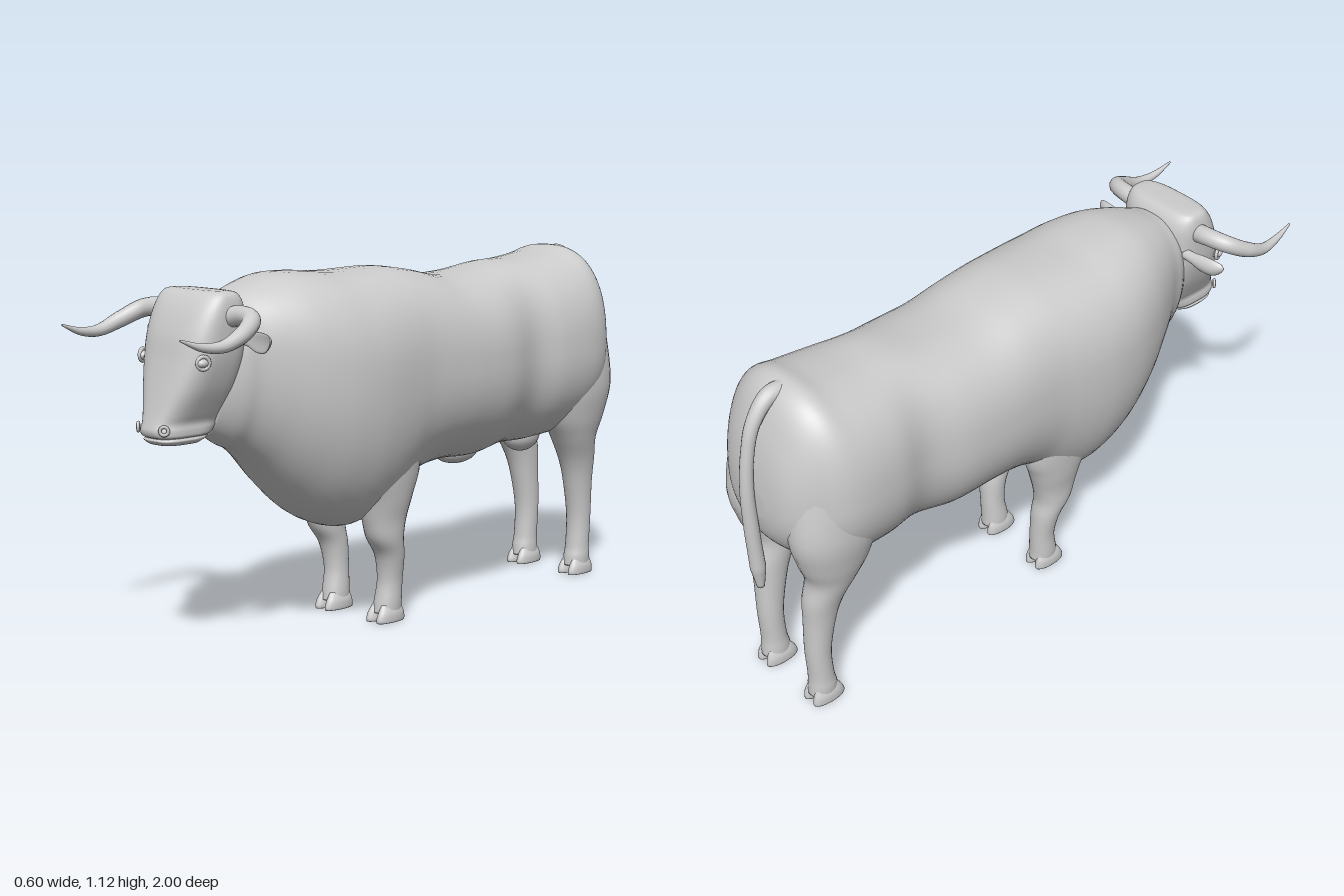
import * as THREE from 'three';

const mat = new THREE.MeshStandardMaterial({ color: 0xcccccc, roughness: 0.8 });

// Smoothly interpolates a short list of key rows into many rows
function smoothRows(keys, steps) {
  const rows = [];
  const last = keys.length - 1;
  for (let i = 0; i <= last * steps; i++) {
    const k = Math.min(Math.floor(i / steps), last - 1);
    const t = i / steps - k;
    const at = (n) => keys[Math.max(0, Math.min(last, n))];
    rows.push(keys[k].map((b, c) => {
      const a = at(k - 1)[c], d = at(k + 1)[c], e = at(k + 2)[c];
      return b + 0.5 * t * (d - a + t * (2 * a - 5 * b + 4 * d - e + t * (3 * (b - d) + e - a)));
    }));
  }
  return rows;
}

// Skins rings of points into a closed smooth surface, facing outward
function skin(rings) {
  const segs = rings[0].length, pos = [], idx = [];
  rings.forEach((r) => r.forEach((p) => pos.push(p.x, p.y, p.z)));
  for (let i = 0; i < rings.length - 1; i++) {
    for (let j = 0; j < segs; j++) {
      const a = i * segs + j, b = i * segs + (j + 1) % segs;
      idx.push(a, b, a + segs, b, b + segs, a + segs);
    }
  }
  [0, rings.length - 1].forEach((ri) => {
    const mid = new THREE.Vector3();
    rings[ri].forEach((p) => mid.addScaledVector(p, 1 / segs));
    const c = pos.length / 3;
    pos.push(mid.x, mid.y, mid.z);
    for (let j = 0; j < segs; j++) {
      const a = ri * segs + j, b = ri * segs + (j + 1) % segs;
      if (ri === 0) idx.push(c, b, a); else idx.push(c, a, b);
    }
  });
  // Signed volume tells whether the winding must be reversed
  let volume = 0;
  const v = (i) => new THREE.Vector3().fromArray(pos, i * 3);
  for (let i = 0; i < idx.length; i += 3) volume += v(idx[i]).dot(v(idx[i + 1]).cross(v(idx[i + 2])));
  if (volume < 0) idx.reverse();
  const g = new THREE.BufferGeometry();
  g.setAttribute('position', new THREE.Float32BufferAttribute(pos, 3));
  g.setIndex(idx);
  g.computeVertexNormals();
  return g;
}

function loft(keys, steps, segs, point) {
  return skin(smoothRows(keys, steps).map((row) =>
    Array.from({ length: segs }, (_, j) => point(row, (j / segs) * Math.PI * 2))));
}

const spow = (v, n) => Math.sign(v) * Math.pow(Math.abs(v), 2 / n);

function add(parent, name, geometry) {
  const m = new THREE.Mesh(geometry, mat);
  m.name = name;
  parent.add(m);
  return m;
}

function ellipsoid(parent, name, p, r) {
  const m = add(parent, name, new THREE.SphereGeometry(1, 24, 16));
  m.position.set(...p);
  m.scale.set(...r);
  return m;
}

// Upright limb from rows of [y, x, z, radiusX, radiusZ]
const limb = (keys, side, n = 2.1) => loft(keys, 5, 28, ([y, x, z, rx, rz], a) =>
  new THREE.Vector3(side * (x + rx * spow(Math.cos(a), n)), y, z + rz * spow(Math.sin(a), n)));

// Round tube along a curve, with radii tapering between key values
function taperedTube(points, radii, steps = 48, segs = 16) {
  const curve = new THREE.CatmullRomCurve3(points.map((p) => new THREE.Vector3(...p)));
  const frames = curve.computeFrenetFrames(steps, false);
  const rings = [];
  for (let i = 0; i <= steps; i++) {
    const u = i / steps, f = u * (radii.length - 1), k = Math.min(Math.floor(f), radii.length - 2);
    const r = THREE.MathUtils.lerp(radii[k], radii[k + 1], f - k);
    const c = curve.getPointAt(u);
    rings.push(Array.from({ length: segs }, (_, j) => {
      const a = (j / segs) * Math.PI * 2;
      return c.clone().addScaledVector(frames.normals[i], r * Math.cos(a))
        .addScaledVector(frames.binormals[i], r * Math.sin(a));
    }));
  }
  return skin(rings);
}

// Barrel, chest, neck and rump: [z, top, bottom, halfWidth, widestY]
const bodyKeys = [
  [0.71, 0.95, 0.65, 0.09, 0.82], [0.65, 1.03, 0.61, 0.135, 0.85], [0.6, 1.055, 0.585, 0.155, 0.85],
  [0.53, 1.08, 0.53, 0.195, 0.83], [0.44, 1.1, 0.44, 0.24, 0.8], [0.34, 1.1, 0.355, 0.272, 0.78],
  [0.24, 1.092, 0.31, 0.285, 0.77], [0.16, 1.092, 0.305, 0.284, 0.77], [0.08, 1.094, 0.34, 0.277, 0.77],
  [0.0, 1.094, 0.405, 0.27, 0.77], [-0.1, 1.08, 0.445, 0.27, 0.77], [-0.22, 1.057, 0.46, 0.271, 0.765],
  [-0.36, 1.06, 0.455, 0.264, 0.765], [-0.5, 1.08, 0.475, 0.236, 0.775], [-0.62, 1.085, 0.475, 0.26, 0.78],
  [-0.74, 1.1, 0.485, 0.266, 0.78], [-0.82, 1.118, 0.51, 0.25, 0.78], [-0.88, 1.08, 0.55, 0.21, 0.78],
  [-0.925, 0.985, 0.6, 0.165, 0.77], [-0.95, 0.89, 0.65, 0.115, 0.76], [-0.962, 0.8, 0.71, 0.05, 0.755],
];

// Head, from crown down to chin: [y, zBack, zFront, halfWidth]
const headKeys = [
  [1.07, 0.685, 0.735, 0.1], [1.062, 0.65, 0.765, 0.133], [1.02, 0.625, 0.8, 0.145],
  [0.95, 0.618, 0.832, 0.145], [0.88, 0.618, 0.85, 0.139], [0.8, 0.625, 0.872, 0.116],
  [0.73, 0.645, 0.892, 0.084], [0.7, 0.665, 0.902, 0.07], [0.68, 0.685, 0.908, 0.071],
  [0.664, 0.7, 0.903, 0.07], [0.658, 0.71, 0.892, 0.063], [0.65, 0.72, 0.896, 0.067],
  [0.638, 0.745, 0.88, 0.058],
];

const frontLegKeys = [
  [0.74, 0.14, 0.12, 0.09, 0.15], [0.5, 0.142, 0.105, 0.07, 0.14], [0.4, 0.137, 0.095, 0.064, 0.1],
  [0.33, 0.132, 0.095, 0.057, 0.078], [0.27, 0.13, 0.09, 0.054, 0.062], [0.21, 0.126, 0.066, 0.047, 0.046],
  [0.13, 0.12, 0.058, 0.039, 0.04], [0.06, 0.117, 0.064, 0.041, 0.045], [0.028, 0.116, 0.066, 0.04, 0.048],
];
const hindLegKeys = [
  [0.88, 0.13, -0.78, 0.1, 0.13], [0.68, 0.142, -0.79, 0.103, 0.15], [0.56, 0.14, -0.795, 0.087, 0.12],
  [0.48, 0.134, -0.805, 0.07, 0.083], [0.4, 0.125, -0.834, 0.055, 0.066], [0.32, 0.12, -0.848, 0.046, 0.052],
  [0.2, 0.117, -0.86, 0.04, 0.041], [0.1, 0.117, -0.856, 0.039, 0.04], [0.06, 0.117, -0.853, 0.041, 0.045],
  [0.028, 0.116, -0.852, 0.04, 0.048],
];

function addLeg(root, name, keys, side, hoofZ) {
  const leg = new THREE.Group();
  leg.name = name;
  root.add(leg);
  add(leg, 'limb', limb(keys, side));
  // Cloven hoof: two toes side by side
  for (const toe of [-1, 1]) {
    const x = 0.116 + toe * 0.022;
    add(leg, 'toe', limb([
      [0.055, x - toe * 0.003, hoofZ - 0.005, 0.014, 0.038], [0.03, x, hoofZ - 0.002, 0.021, 0.051],
      [0.01, x, hoofZ, 0.0225, 0.057], [0, x, hoofZ, 0.021, 0.056]], side));
  }
}

export function createModel() {
  const root = new THREE.Group();
  root.name = 'bull';

  add(root, 'body', loft(bodyKeys, 5, 56, ([z, top, bottom, w, mid], a) => {
    const c = Math.cos(a), s = Math.sin(a), n = s > 0 ? 2.45 : 2.1;
    return new THREE.Vector3(w * spow(c, n), mid + (s > 0 ? top - mid : mid - bottom) * spow(s, n), z);
  }));
  ellipsoid(root, 'sheath', [0, 0.468, -0.37], [0.05, 0.042, 0.09]);
  ellipsoid(root, 'scrotum', [0, 0.487, -0.69], [0.055, 0.06, 0.075]);

  const head = new THREE.Group();
  head.name = 'head';
  root.add(head);
  add(head, 'skull', loft(headKeys, 5, 48, ([y, back, front, w], a) =>
    new THREE.Vector3(w * spow(Math.cos(a), 3), y, (back + front) / 2 + (front - back) / 2 * spow(Math.sin(a), 3))));

  for (const side of [1, -1]) {
    const label = side > 0 ? 'left' : 'right';
    addLeg(root, label + 'FrontLeg', frontLegKeys, side, 0.073);
    addLeg(root, label + 'HindLeg', hindLegKeys, side, -0.848);

    // Horns sweep outward, then forward with upturned tips
    add(head, label + 'Horn', taperedTube([
      [0.11, 0.995, 0.71], [0.18, 1.005, 0.705], [0.24, 0.998, 0.725], [0.272, 0.967, 0.785],
      [0.277, 0.94, 0.86], [0.27, 0.943, 0.93], [0.264, 0.967, 1.0],
    ].map(([x, y, z]) => [side * x, y, z]), [0.031, 0.029, 0.027, 0.024, 0.018, 0.012, 0.003]));

    // Leaf-shaped ear: [x, y, z, halfHeight, halfThickness]
    add(head, label + 'Ear', loft([
      [0.125, 0.935, 0.66, 0.018, 0.014], [0.16, 0.933, 0.66, 0.02, 0.013], [0.195, 0.929, 0.66, 0.029, 0.011],
      [0.235, 0.929, 0.665, 0.029, 0.009], [0.262, 0.935, 0.675, 0.017, 0.006], [0.272, 0.938, 0.682, 0.003, 0.003],
    ], 4, 20, ([x, y, z, h, d], a) => {
      const c = Math.cos(a);
      return new THREE.Vector3(side * x, y + h * c, z + d * Math.sin(a) + 0.3 * h * c * c);
    }));

    ellipsoid(head, label + 'Eye', [side * 0.129, 0.876, 0.812], [0.018, 0.014, 0.02]);
    const lid = add(head, label + 'Eyelid', new THREE.TorusGeometry(0.018, 0.006, 8, 20));
    lid.position.set(side * 0.135, 0.877, 0.812);
    lid.rotation.y = side * 1.2;
    const nostril = add(head, label + 'Nostril', new THREE.TorusGeometry(0.012, 0.005, 8, 18));
    nostril.position.set(side * 0.058, 0.685, 0.894);
    nostril.rotation.y = side * 0.75;
  }

  // Tail arches off the rump and hangs down
  add(root, 'tail', taperedTube([
    [0, 1.085, -0.82], [0, 1.085, -0.88], [0, 1.02, -0.938], [0, 0.92, -0.967], [0, 0.8, -0.979],
    [0, 0.65, -0.975], [0, 0.5, -0.966], [0, 0.435, -0.963],
  ], [0.03, 0.026, 0.022, 0.02, 0.02, 0.021, 0.022, 0.023, 0.023, 0.024, 0.012], 60));

  return root;
}
